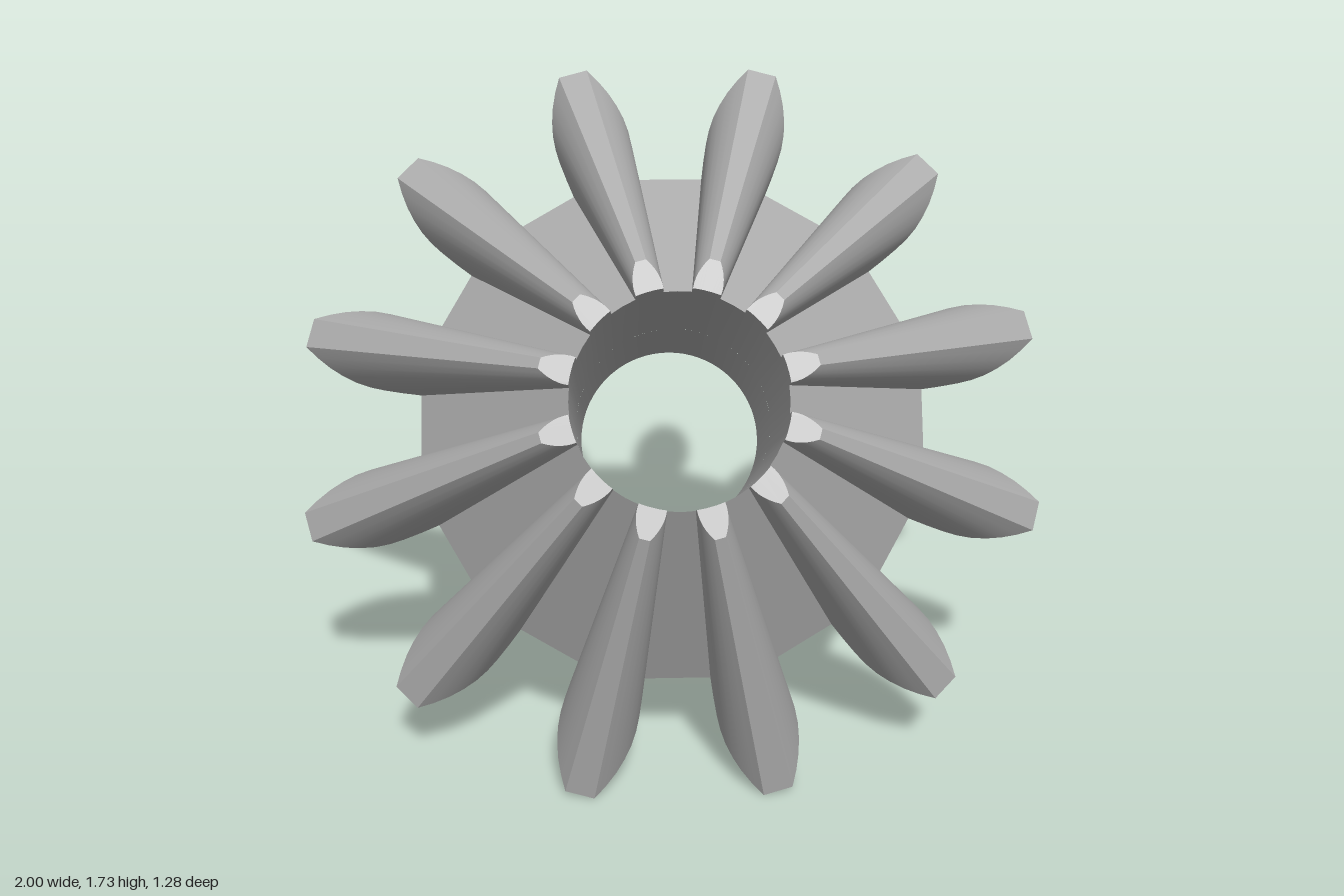
import * as THREE from 'three';
import { toCreasedNormals } from 'three/addons/utils/BufferGeometryUtils.js';

const TEETH = 12;
const BORE = 0.265;
const HUB_RADIUS = 0.466;
const HUB_LENGTH = 0.43;
const APEX = 0.881;       // distance from the back face to the cone apex
const FRONT_SCALE = 0.334; // size of the front end relative to the back

// Half tooth in the back plane: [distance from axis, half width], root to tip
const FLANK = [
  [0.685, 0.0915], [0.735, 0.098], [0.786, 0.103], [0.825, 0.1045], [0.865, 0.1015],
  [0.905, 0.093], [0.945, 0.08], [0.985, 0.062], [1.024, 0.04],
];

// Gear outline as polar points, counter-clockwise
function gearOutline() {
  const outline = [];
  const step = (Math.PI * 2) / TEETH;
  const polar = ([c, w], side) => ({ r: Math.hypot(c, w), a: side * Math.atan2(w, c) });
  const tooth = [
    ...FLANK.map((p) => polar(p, -1)),
    ...[...FLANK].reverse().map((p) => polar(p, 1)),
  ];
  const root = tooth[0];
  const gapHalf = step / 2 + root.a;
  for (let i = 0; i < TEETH; i++) {
    const centre = (i + 0.5) * step;
    for (const p of tooth) outline.push({ r: p.r, a: centre + p.a });
    // middle of the straight gap floor
    outline.push({ r: root.r * Math.cos(gapHalf), a: centre + step / 2 });
  }
  return outline;
}

// Straight bevel teeth converging on the apex, cut off by the bore
function bevelGeometry() {
  const sections = gearOutline().map(({ r, a }) => {
    const s = Math.max(FRONT_SCALE, BORE / r);
    const z = APEX * (1 - s);
    const at = (radius, depth) =>
      new THREE.Vector3(radius * Math.cos(a), radius * Math.sin(a), depth);
    return [at(BORE, 0), at(BORE, z), at(r * s, z), at(r, 0)];
  });
  const positions = [];
  const triangle = (a, b, c) => {
    const area = b.clone().sub(a).cross(c.clone().sub(a)).length();
    if (area > 1e-8) for (const p of [a, b, c]) positions.push(p.x, p.y, p.z);
  };
  sections.forEach((cur, i) => {
    const next = sections[(i + 1) % sections.length];
    for (let k = 0; k < 4; k++) {
      const m = (k + 1) % 4;
      triangle(cur[k], cur[m], next[k]);
      triangle(cur[m], next[m], next[k]);
    }
  });
  const geometry = new THREE.BufferGeometry();
  geometry.setAttribute('position', new THREE.Float32BufferAttribute(positions, 3));
  return toCreasedNormals(geometry, 0.5);
}

// Hollow cylindrical hub behind the teeth
function hubGeometry() {
  const profile = [
    [BORE, 0], [BORE, -HUB_LENGTH], [HUB_RADIUS, -HUB_LENGTH], [HUB_RADIUS, 0],
  ].map(([r, y]) => new THREE.Vector2(r, y));
  const geometry = new THREE.LatheGeometry(profile, 72);
  geometry.rotateX(Math.PI / 2);
  return toCreasedNormals(geometry, 0.5);
}

export function createModel() {
  const steel = new THREE.MeshStandardMaterial({ color: 0xb0b0b0 });
  steel.name = 'steel grey';

  const bevelTeeth = new THREE.Mesh(bevelGeometry(), steel);
  bevelTeeth.name = 'bevelTeeth';
  const hub = new THREE.Mesh(hubGeometry(), steel);
  hub.name = 'hub';

  // Axis tilted up by 30 degrees
  const gear = new THREE.Group();
  gear.name = 'bevelGear';
  gear.add(bevelTeeth, hub);
  gear.rotation.x = -Math.PI / 6;
  gear.position.set(0, 0.868, -0.03);

  const model = new THREE.Group();
  model.name = 'model';
  model.add(gear);
  return model;
}
